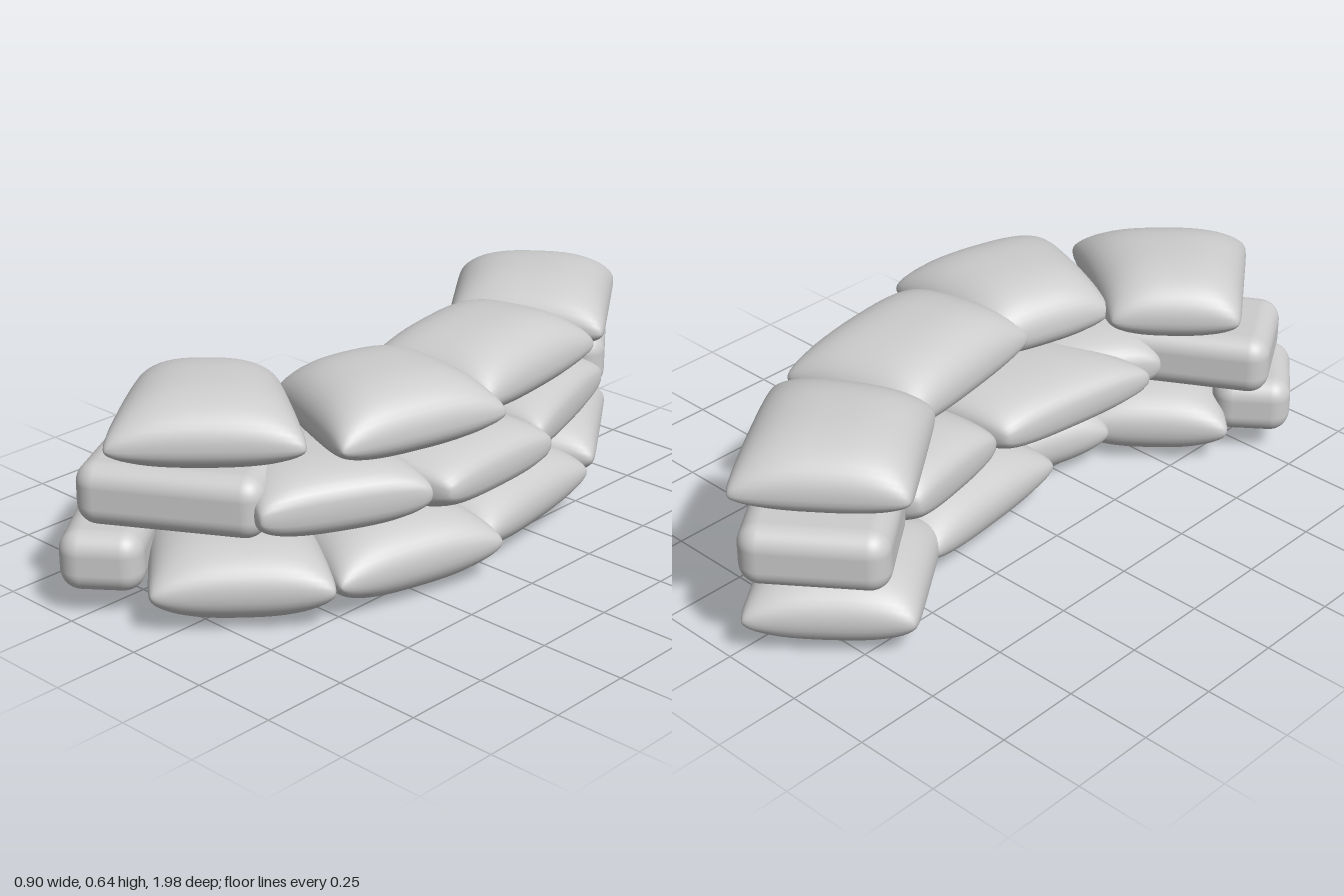
import * as THREE from 'three';
import { mergeGeometries, mergeVertices } from 'three/addons/utils/BufferGeometryUtils.js';
import { RoundedBoxGeometry } from 'three/addons/geometries/RoundedBoxGeometry.js';

// Half of a stuffed bag: a four-cornered patch swelling from its seam to height yEnd
function bagShell(corners, ySeam, yEnd, pinch) {
  const g = new THREE.PlaneGeometry(2, 2, 26, 26);
  g.deleteAttribute('uv');
  g.deleteAttribute('normal');
  const p = g.attributes.position;
  const [a, b, c, d] = corners;
  for (let i = 0; i < p.count; i++) {
    const u = Math.sin(p.getX(i) * Math.PI / 2);
    const v = Math.sin(p.getY(i) * Math.PI / 2);
    const swell = Math.pow(Math.max(0, (1 - Math.abs(u) ** 2.7) * (1 - Math.abs(v) ** 2.7)), pinch);
    // round the corners off a little
    const k = 1.03 - 0.04 * Math.abs(u * v) ** 12;
    const s = (1 + u * k) / 2, t = (1 + v * k) / 2;
    const mix = (n) => (a[n] * (1 - s) + b[n] * s) * (1 - t) + (d[n] * (1 - s) + c[n] * s) * t;
    p.setXYZ(i, mix(0), ySeam + (yEnd - ySeam) * swell, mix(1));
  }
  if (yEnd > ySeam) {
    const idx = g.index;
    for (let i = 0; i < idx.count; i += 3) {
      const x = idx.getX(i);
      idx.setX(i, idx.getX(i + 1));
      idx.setX(i + 1, x);
    }
  }
  return g;
}

function bagGeometry(corners, [yLow, ySeam, yHigh], pinch) {
  const g = mergeVertices(mergeGeometries([
    bagShell(corners, ySeam, yHigh, pinch),
    bagShell(corners, ySeam, yLow, pinch),
  ]), 1e-5);
  g.computeVertexNormals();
  return g;
}

export function createModel() {
  const group = new THREE.Group();
  group.name = 'sandbagWall';
  const cloth = new THREE.MeshStandardMaterial({ color: 0xcccccc });
  cloth.name = 'greyCloth';

  // Three courses of bags; each bag is given by its plan corners (x, z), from the back round to the front
  const courses = [
    { name: 'bottomBag', y: [0, 0.115, 0.232], pinch: 0.45, bags: [
      [[-0.03, -0.98], [0.26, -0.56], [-0.12, -0.33], [-0.37, -0.68]],
      [[0.30, -0.49], [0.38, 0.04], [-0.12, 0.13], [-0.18, -0.42]],
      [[0.0, 0.0], [0.43, 0.04], [0.30, 0.54], [-0.12, 0.37]],
      [[-0.04, 0.33], [0.31, 0.57], [-0.02, 0.92], [-0.37, 0.61]],
    ] },
    { name: 'middleBag', y: [0.215, 0.32, 0.422], pinch: 0.35, bags: [
      [[0.17, -0.71], [0.34, -0.22], [-0.14, -0.13], [-0.21, -0.50]],
      [[0.39, -0.21], [0.41, 0.24], [-0.22, 0.43], [-0.15, -0.1]],
      [[0.38, 0.27], [0.17, 0.70], [-0.2, 0.5], [-0.03, 0.16]],
    ] },
    { name: 'topBag', y: [0.42, 0.51, 0.638], pinch: 0.45, bags: [
      [[-0.02, -0.99], [0.27, -0.57], [-0.12, -0.35], [-0.38, -0.70]],
      [[0.30, -0.50], [0.37, 0.04], [-0.03, 0.12], [-0.12, -0.42]],
      [[0.0, 0.0], [0.45, 0.06], [0.32, 0.55], [-0.10, 0.38]],
      [[-0.14, 0.34], [0.24, 0.60], [-0.13, 0.96], [-0.41, 0.58]],
    ] },
  ];
  for (const { name, y, pinch, bags } of courses) {
    bags.forEach((corners, i) => {
      const mesh = new THREE.Mesh(bagGeometry(corners, y, pinch), cloth);
      mesh.name = name + (i + 1);
      group.add(mesh);
    });
  }

  // Squarer filler bags that close the ends of the lower courses
  const fillers = [
    // name, size, centre, turn
    ['frontMiddleFiller', [0.52, 0.178, 0.33], [-0.15, 0.328, 0.675], 0.53],
    ['frontBottomFiller', [0.23, 0.172, 0.31], [-0.288, 0.156, 0.825], 0.66],
    ['backMiddleFiller', [0.4, 0.178, 0.33], [-0.11, 0.33, -0.755], 0.65],
  ];
  for (const [name, size, centre, turn] of fillers) {
    const mesh = new THREE.Mesh(new RoundedBoxGeometry(...size, 6, 0.06), cloth);
    mesh.name = name;
    mesh.position.set(...centre);
    mesh.rotation.y = turn;
    group.add(mesh);
  }
  return group;
}
